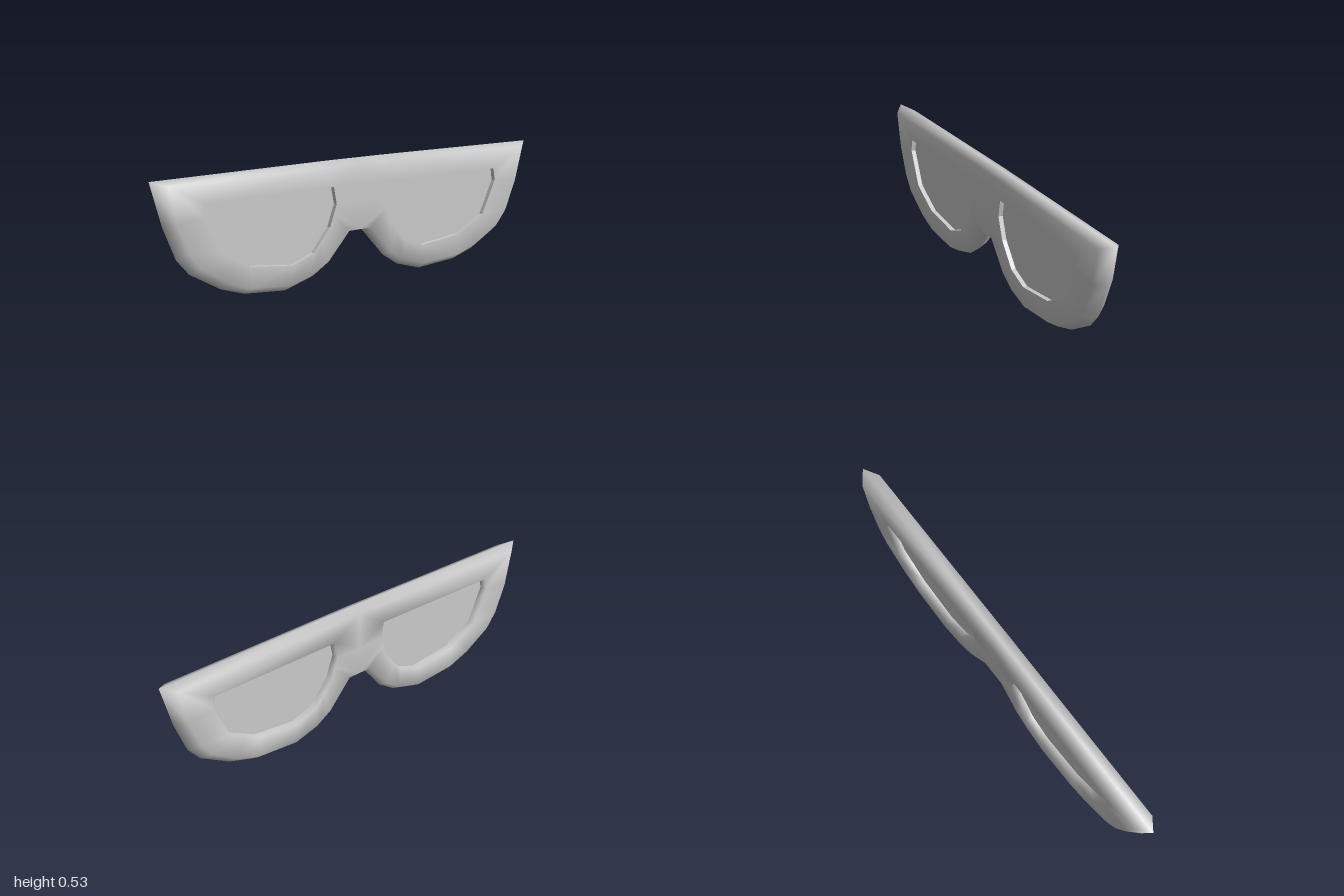
import * as THREE from 'three';
import { mergeVertices } from 'three/addons/utils/BufferGeometryUtils.js';

const DEPTH = 0.045;       // half thickness of the rim
const LENS_FRONT = 0.025;
const LENS_BACK = -0.011;

// Stations clockwise round one lens: outer ridge, rim crest, lens opening (x, y each).
// The stations on x = 0 close the bridge against its mirror image.
const STATIONS = [
  [[0, 0.527], [0, 0.507], [0.14, 0.42]],
  [[0.14, 0.527], [0.14, 0.506], [0.14, 0.42]],
  [[1, 0.52], [0.94, 0.5], [0.77, 0.415]],
  [[0.945, 0.335], [0.905, 0.345], [0.778, 0.36]],
  [[0.885, 0.195], [0.85, 0.22], [0.742, 0.285]],
  [[0.826, 0.13], [0.797, 0.155], [0.705, 0.21]],
  [[0.68, 0.05], [0.667, 0.08], [0.632, 0.172]],
  [[0.565, 0.015], [0.56, 0.043], [0.56, 0.135]],
  [[0.365, 0], [0.36, 0.028], [0.35, 0.112]],
  [[0.24, 0.035], [0.243, 0.06], [0.245, 0.15]],
  [[0.16, 0.085], [0.168, 0.105], [0.203, 0.2]],
  [[0.05, 0.215], [0.058, 0.223], [0.16, 0.25]],
  [[0, 0.215], [0, 0.224], [0.142, 0.3]],
  [[0, 0.345], [0, 0.345], [0.125, 0.345]],
  [[0, 0.42], [0, 0.42], [0.14, 0.42]],
];
const OPENING = STATIONS.slice(1, 14).map((s) => s[2]);

function makeGeometry(positions) {
  const g = new THREE.BufferGeometry();
  g.setAttribute('position', new THREE.Float32BufferAttribute(positions, 3));
  return g;
}

// Adds a quad as two triangles, skipping collapsed ones
function addQuad(out, a, b, c, d, flip) {
  for (const tri of [[a, b, c], [a, c, d]]) {
    const t = new THREE.Triangle(...tri.map((p) => new THREE.Vector3(...p)));
    if (t.getArea() < 1e-7) continue;
    out.push(...(flip ? [tri[0], tri[2], tri[1]] : tri).flat());
  }
}

// Smooth rim: bevel and face on both sides, rounded into the opening at the back
function rimGeometry() {
  const out = [];
  for (const sx of [1, -1]) {
    for (const sz of [1, -1]) {
      const flip = sx * sz < 0;
      const rings = STATIONS.map(([o, m, h]) => [
        [sx * o[0], o[1], 0],
        [sx * m[0], m[1], sz * DEPTH],
        [sx * h[0], h[1], sz * DEPTH],
        [sx * h[0], h[1], LENS_BACK],
      ]);
      rings.forEach((a, i) => {
        const b = rings[(i + 1) % rings.length];
        const onCentre = a[0][0] === 0 && b[0][0] === 0;
        const last = sz > 0 ? 2 : 3;
        for (let k = onCentre ? 1 : 0; k < last; k++) {
          addQuad(out, a[k], a[k + 1], b[k + 1], b[k], flip);
        }
      });
    }
  }
  const g = mergeVertices(makeGeometry(out), 1e-4);
  g.computeVertexNormals();
  return g;
}

// Sharp-edged recess in front of a lens
function recessGeometry() {
  const out = [];
  OPENING.forEach((p, i) => {
    const q = OPENING[(i + 1) % OPENING.length];
    addQuad(out, [...p, DEPTH], [...p, LENS_FRONT], [...q, LENS_FRONT], [...q, DEPTH], false);
  });
  const g = makeGeometry(out);
  g.computeVertexNormals();
  return g;
}

export function createModel() {
  const group = new THREE.Group();
  group.name = 'glassesFront';
  const grey = new THREE.MeshStandardMaterial({ color: 0xcccccc });

  const add = (name, geometry) => {
    const mesh = new THREE.Mesh(geometry, grey);
    mesh.name = name;
    group.add(mesh);
    return mesh;
  };

  add('frame', rimGeometry());

  // Flat lens slabs set into the openings
  const outline = new THREE.Shape(OPENING.map(([x, y]) => new THREE.Vector2(x, y)));
  const lens = new THREE.ExtrudeGeometry(outline, { depth: LENS_FRONT - LENS_BACK, bevelEnabled: false });
  lens.translate(0, 0, LENS_BACK);
  const recess = recessGeometry();
  for (const [side, sx] of [['left', 1], ['right', -1]]) {
    add(`${side}Lens`, lens).scale.x = sx;
    add(`${side}LensRecess`, recess).scale.x = sx;
  }
  return group;
}
